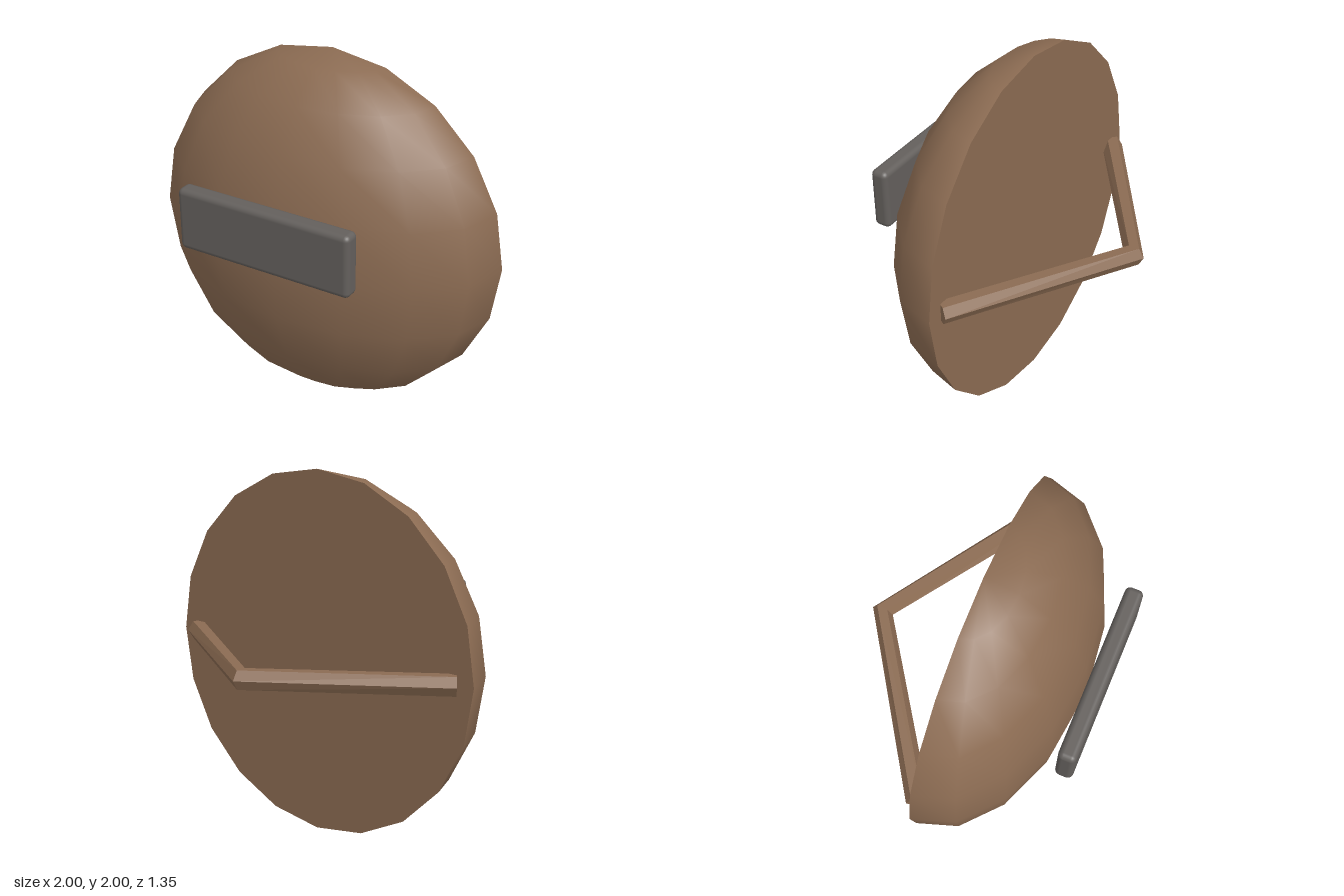
import * as THREE from 'three';
import { RoundedBoxGeometry } from 'three/addons/geometries/RoundedBoxGeometry.js';

const BACK_Z = -0.02;

// Six-sided bar swept through a flat path in x/z, with closed ends.
function hexBar(points, radius) {
  const sides = 6;
  const pos = [];
  const index = [];
  points.forEach((p, i) => {
    const a = points[Math.max(i - 1, 0)];
    const b = points[Math.min(i + 1, points.length - 1)];
    const t = new THREE.Vector3().subVectors(b, a).normalize();
    for (let s = 0; s < sides; s++) {
      const ang = (s / sides) * Math.PI * 2;
      const out = Math.cos(ang) * radius;
      pos.push(p.x + t.z * out, p.y + Math.sin(ang) * radius, p.z - t.x * out);
    }
  });
  for (let i = 0; i < points.length - 1; i++) {
    for (let s = 0; s < sides; s++) {
      const a = i * sides + s;
      const b = i * sides + ((s + 1) % sides);
      index.push(a, a + sides, b, b, a + sides, b + sides);
    }
  }
  const last = (points.length - 1) * sides;
  for (let s = 1; s < sides - 1; s++) {
    index.push(0, s, s + 1);
    index.push(last, last + s + 1, last + s);
  }
  const geo = new THREE.BufferGeometry();
  geo.setAttribute('position', new THREE.Float32BufferAttribute(pos, 3));
  geo.setIndex(index);
  const flat = geo.toNonIndexed();
  flat.computeVertexNormals();
  return flat;
}

export function createModel() {
  const wood = new THREE.MeshStandardMaterial({ name: 'brown wood', color: 0x8b6b52 });
  wood.side = THREE.DoubleSide;
  const metal = new THREE.MeshStandardMaterial({ name: 'grey metal', color: 0x635f5c });
  const model = new THREE.Group();
  model.name = 'shield';

  const add = (name, geometry, material, x, y, z) => {
    const mesh = new THREE.Mesh(geometry, material);
    mesh.name = name;
    mesh.position.set(x, y, z);
    model.add(mesh);
    return mesh;
  };

  // Domed front: half a sphere flattened in depth
  const dome = new THREE.SphereGeometry(1, 8, 10, 0, Math.PI);
  dome.scale(1, 1, 0.595);
  add('dome', dome, wood, 0, 1, BACK_Z);

  // Flat back disc
  const back = new THREE.CircleGeometry(1, 20);
  back.rotateY(Math.PI);
  add('backPlate', back, wood, 0, 1, BACK_Z);

  // Rounded plate in front of the dome
  add('frontPlate', new RoundedBoxGeometry(1, 0.345, 0.098, 3, 0.03), metal, 0, 1.202, 0.626);

  // Bent handle on the back
  const path = [
    new THREE.Vector3(-0.9, 0, BACK_Z),
    new THREE.Vector3(0, 0, -0.62),
    new THREE.Vector3(0.9, 0, BACK_Z),
  ];
  add('handle', hexBar(path, 0.059), wood, 0, 1, 0);

  return model;
}
